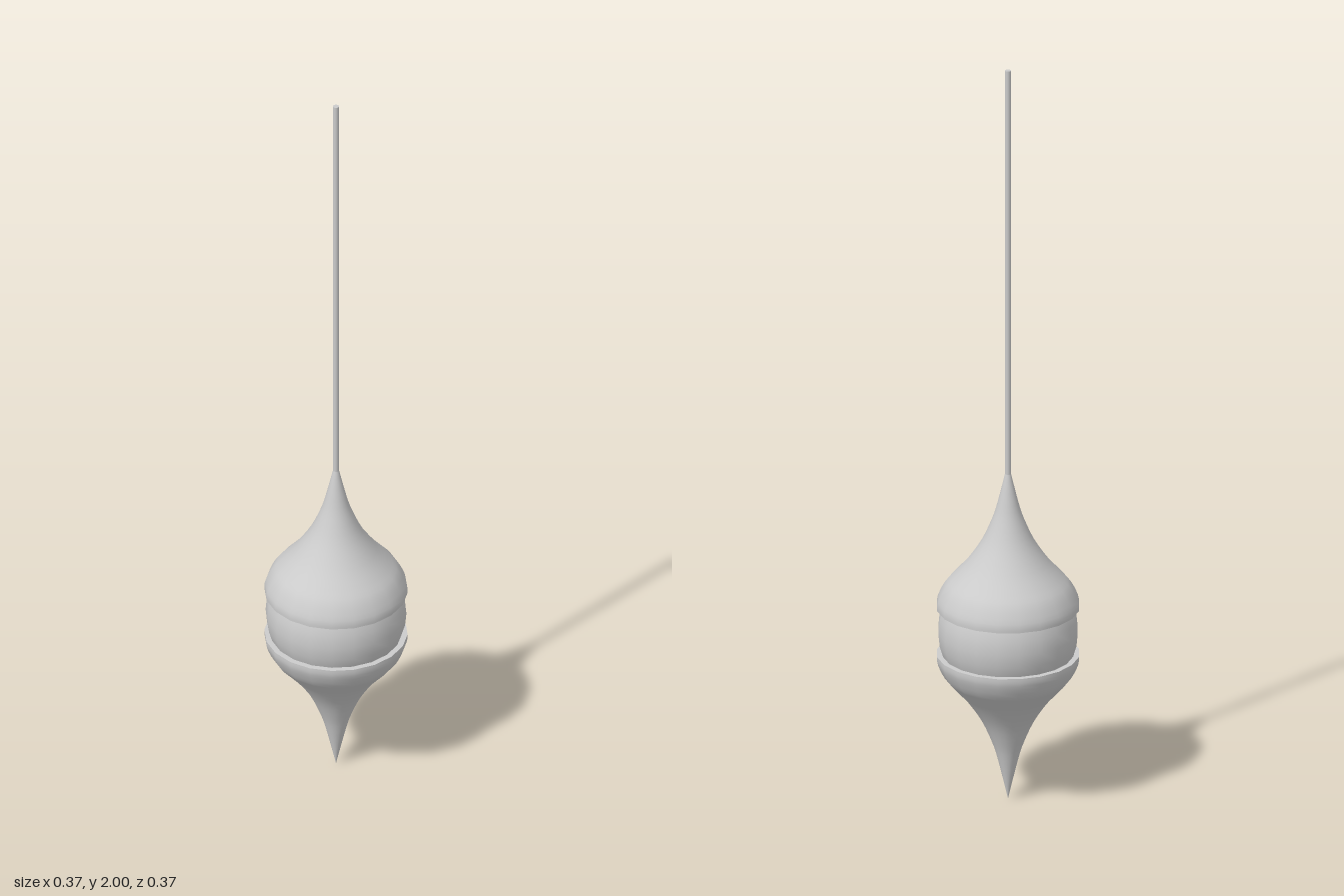
import * as THREE from 'three';

const SIDES = 20;
const MID = 0.463; // height of the ball's centre

export function createModel() {
  const group = new THREE.Group();
  const material = new THREE.MeshStandardMaterial({ color: 0xcccccc, side: THREE.DoubleSide });

  const add = (name, geometry, y, parent = group) => {
    const mesh = new THREE.Mesh(geometry, material);
    mesh.name = name;
    mesh.position.y = y;
    parent.add(mesh);
    return mesh;
  };

  // Teardrop half: radius and height above the ball's centre, rim to tip
  const curve = new THREE.SplineCurve([
    [0.183, 0.063], [0.181, 0.085], [0.163, 0.123], [0.137, 0.153], [0.105, 0.19],
    [0.068, 0.245], [0.042, 0.303], [0.027, 0.35], [0.006, 0.437], [0, 0.463],
  ].map(([r, y]) => new THREE.Vector2(r, y)));
  const profile = curve.getPoints(27);
  profile[27].x = 0;

  const addHalf = (name, rotation) => {
    const half = new THREE.Group();
    half.name = name;
    half.position.y = MID;
    half.rotation.x = rotation;
    add(name + 'Shell', new THREE.LatheGeometry(profile, SIDES), 0, half);
    // Flat lip closing the rim against the ball
    const rim = new THREE.RingGeometry(0.16, 0.183, SIDES, 1).rotateX(Math.PI / 2);
    add(name + 'Rim', rim, 0.063, half);
    group.add(half);
  };
  addHalf('upperHalf', 0);
  addHalf('lowerHalf', Math.PI);

  // Ball showing between the two halves
  add('ball', new THREE.SphereGeometry(0.18, SIDES, 16), MID);

  // Thin hanging rod
  const rodBottom = 0.88;
  add('rod', new THREE.CylinderGeometry(0.008, 0.008, 2 - rodBottom, 12), (2 + rodBottom) / 2);

  return group;
}
